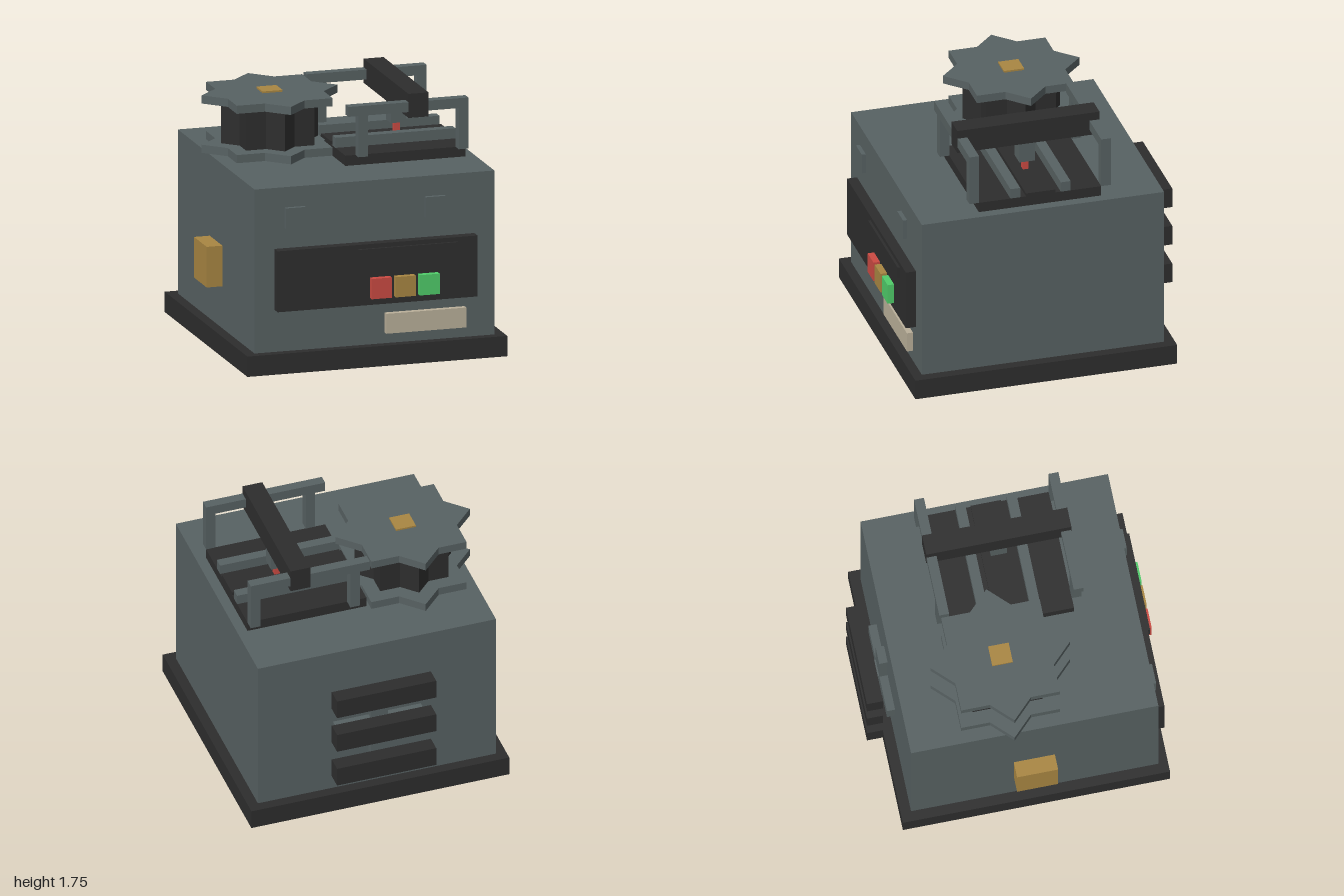
import * as THREE from 'three';

const paint = (name, color) => {
  const m = new THREE.MeshStandardMaterial({ color });
  m.name = name;
  return m;
};

export function createModel() {
  const model = new THREE.Group();
  model.name = 'tabletopMachine';
  const steel = paint('greySteel', 0x576162);
  const dark = paint('darkPlastic', 0x2d2d2d);
  const brass = paint('brass', 0xa88642);
  const red = paint('red', 0xca4a42);
  const green = paint('green', 0x4fcb69);
  const cream = paint('cream', 0xb9af99);

  // Box given by its extents along each axis
  const box = (name, mat, [x0, x1], [y0, y1], [z0, z1], parent = model) => {
    const mesh = new THREE.Mesh(new THREE.BoxGeometry(x1 - x0, y1 - y0, z1 - z0), mat);
    mesh.position.set((x0 + x1) / 2, (y0 + y1) / 2, (z0 + z1) / 2);
    mesh.name = name;
    parent.add(mesh);
  };
  const group = (name) => {
    const g = new THREE.Group();
    g.name = name;
    model.add(g);
    return g;
  };

  // Housing
  box('base', dark, [-0.89, 0.93], [0, 0.14], [-0.87, 0.95]);
  box('body', steel, [-0.82, 0.86], [0.14, 1.27], [-0.8, 0.885]);
  box('sideBox', brass, [-0.93, -0.82], [0.43, 0.71], [-0.1, 0.18]);

  // Front controls
  const front = group('controlPanel');
  box('panel', dark, [-0.68, 0.72], [0.43, 0.85], [0.885, 0.955], front);
  box('slot', dark, [-0.12, 0.58], [0.74, 0.82], [0.955, 0.972], front);
  [red, brass, green].forEach((mat, i) => {
    const x = -0.035 + i * 0.168;
    box('button', mat, [x, x + 0.14], [0.48, 0.62], [0.955, 1], front);
  });
  box('labelPlate', cream, [0.09, 0.65], [0.215, 0.352], [0.885, 0.927], front);
  for (const x of [-0.61, 0.37]) box('frontStud', steel, [x, x + 0.14], [0.99, 1.13], [0.885, 0.913], front);

  // Rear fan cross behind three guard bars
  const rear = group('rearVent');
  box('fanBladeVertical', steel, [-0.04, 0.08], [0.33, 0.945], [-0.857, -0.8], rear);
  box('fanBladeHorizontal', steel, [-0.29, 0.33], [0.58, 0.695], [-0.856, -0.8], rear);
  box('fanHub', steel, [-0.04, 0.08], [0.57, 0.71], [-0.871, -0.8], rear);
  for (const y of [0.312, 0.596, 0.878]) box('guardBar', dark, [-0.33, 0.37], [y, y + 0.14], [-1, -0.89], rear);

  // Eight-pointed reel
  const reel = group('reel');
  const star = (name, mat, radius, y0, y1) => {
    const pts = [];
    for (let i = 0; i < 16; i++) {
      const r = i % 2 ? radius * 0.765 : radius;
      const a = (i * Math.PI) / 8;
      pts.push(new THREE.Vector2(r * Math.cos(a), r * Math.sin(a)));
    }
    const geo = new THREE.ExtrudeGeometry(new THREE.Shape(pts), { depth: y1 - y0, bevelEnabled: false });
    geo.rotateX(-Math.PI / 2);
    const mesh = new THREE.Mesh(geo, mat);
    mesh.position.set(-0.4, y0, -0.105);
    mesh.name = name;
    reel.add(mesh);
  };
  star('lowerFlange', steel, 0.475, 1.284, 1.34);
  star('reelCore', dark, 0.34, 1.34, 1.624);
  star('upperFlange', steel, 0.475, 1.624, 1.68);
  box('spindle', brass, [-0.47, -0.33], [1.27, 1.692], [-0.175, -0.035], reel);

  // Work bed
  const bed = group('workBed');
  const span = [-0.05, 0.79];
  box('bedPlate', dark, span, [1.27, 1.34], [-0.383, 0.468], bed);
  box('bedStrip', dark, span, [1.34, 1.362], [-0.065, 0.14], bed);
  for (const z of [-0.17, 0.18]) box('bedRail', steel, span, [1.34, 1.41], [z, z + 0.068], bed);

  // Gantry with side frames, beam and tool head
  const gantry = group('gantry');
  for (const z of [-0.45, 0.466]) {
    box('topRail', steel, span, [1.624, 1.692], [z, z + 0.067], gantry);
    for (const x of [0.02, 0.723]) box('post', steel, [x, x + 0.067], [1.34, 1.624], [z, z + 0.067], gantry);
  }
  box('crossBeam', dark, [0.37, 0.51], [1.584, 1.75], [-0.453, 0.536], gantry);
  box('toolHead', steel, [0.385, 0.495], [1.44, 1.584], [-0.01, 0.1], gantry);
  box('toolTip', red, [0.42, 0.46], [1.365, 1.44], [0.025, 0.065], gantry);

  return model;
}
